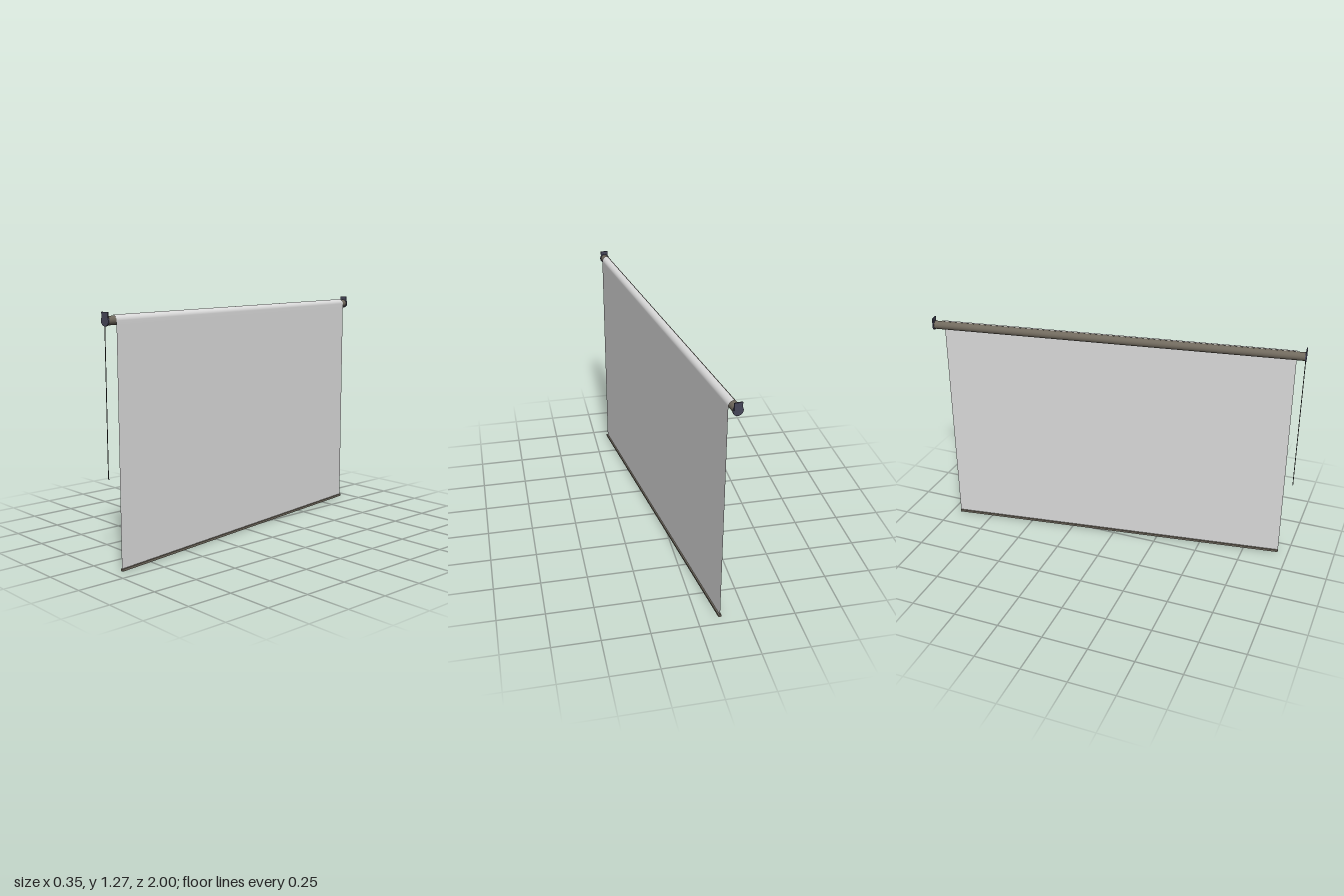
import * as THREE from 'three';

const mat = (name, color, side = THREE.FrontSide) => {
  const m = new THREE.MeshStandardMaterial({ color, side });
  m.name = name;
  return m;
};

export function createModel() {
  const fabric = mat('white fabric', 0xdcdcdc, THREE.DoubleSide);
  const metal = mat('brown metal', 0x716a5e);
  const plastic = mat('dark plastic', 0x47475a);
  const cordMat = mat('cord grey', 0x4a4a4a);

  const AXIS_X = -0.004, AXIS_Y = 1.2265, TILT = 0.0034;
  const HALF = 0.957, END = 1.008;

  const model = new THREE.Group();
  model.name = 'rollerBlind';
  const add = (parent, name, geo, material, x = 0, y = 0, z = 0) => {
    const mesh = new THREE.Mesh(geo, material);
    mesh.name = name;
    mesh.position.set(x, y, z);
    parent.add(mesh);
    return mesh;
  };

  // Roller with its end brackets, slightly higher at the cord end
  const roller = new THREE.Group();
  roller.name = 'rollerAssembly';
  roller.position.set(AXIS_X, AXIS_Y, 0);
  roller.rotation.x = -TILT;
  model.add(roller);
  add(roller, 'rollerTube', new THREE.CylinderGeometry(0.0222, 0.0222, 2 * END - 0.01, 24).rotateX(Math.PI / 2), metal);

  for (const s of [-1, 1]) {
    const bracket = new THREE.Group();
    bracket.name = s > 0 ? 'cordBracket' : 'plainBracket';
    roller.add(bracket);
    add(bracket, 'bracketDisc', new THREE.CylinderGeometry(0.0265, 0.0265, 0.008, 12).rotateX(Math.PI / 2), plastic, 0, 0, s * (END - 0.005));
    add(bracket, 'bracketPlate', new THREE.BoxGeometry(0.042, 0.042, 0.006), plastic, 0, 0.021, s * (END - 0.003));
  }

  // Fabric: wraps over the roller top, then hangs straight down
  const R = 0.027, profile = [];
  for (let i = 0; i <= 10; i++) {
    const a = THREE.MathUtils.degToRad(100 - i * 10);
    profile.push([AXIS_X + R * Math.cos(a), AXIS_Y + R * Math.sin(a), 1]);
  }
  profile.push([AXIS_X + R, AXIS_Y - 0.02, 1], [AXIS_X + R, 0.008, 0]);
  const pos = [], index = [];
  profile.forEach(([x, y, lift], i) => {
    for (const z of [-HALF, HALF]) pos.push(x, y + lift * z * TILT, z);
    if (i > 0) {
      const a = 2 * (i - 1);
      index.push(a, a + 1, a + 3, a, a + 3, a + 2);
    }
  });
  const sheet = new THREE.BufferGeometry();
  sheet.setAttribute('position', new THREE.Float32BufferAttribute(pos, 3));
  sheet.setIndex(index);
  sheet.computeVertexNormals();
  add(model, 'fabricSheet', sheet, fabric);

  // Weighted bar along the hem
  add(model, 'hemBar', new THREE.BoxGeometry(0.016, 0.012, 2 * HALF), metal, AXIS_X + R, 0.006, 0);

  // Pull cord with a small end bead
  const cordZ = END - 0.005, cordTop = AXIS_Y - 0.01, cordLow = 0.468;
  add(model, 'pullCord', new THREE.CylinderGeometry(0.002, 0.002, cordTop - cordLow, 8), cordMat, AXIS_X - 0.004, (cordTop + cordLow) / 2, cordZ);
  add(model, 'cordEnd', new THREE.BoxGeometry(0.009, 0.003, 0.003), cordMat, AXIS_X - 0.001, cordLow + 0.0015, cordZ);

  // The whole blind stands at a slight angle
  model.rotation.y = 0.147;
  const group = new THREE.Group();
  group.add(model);
  return group;
}
